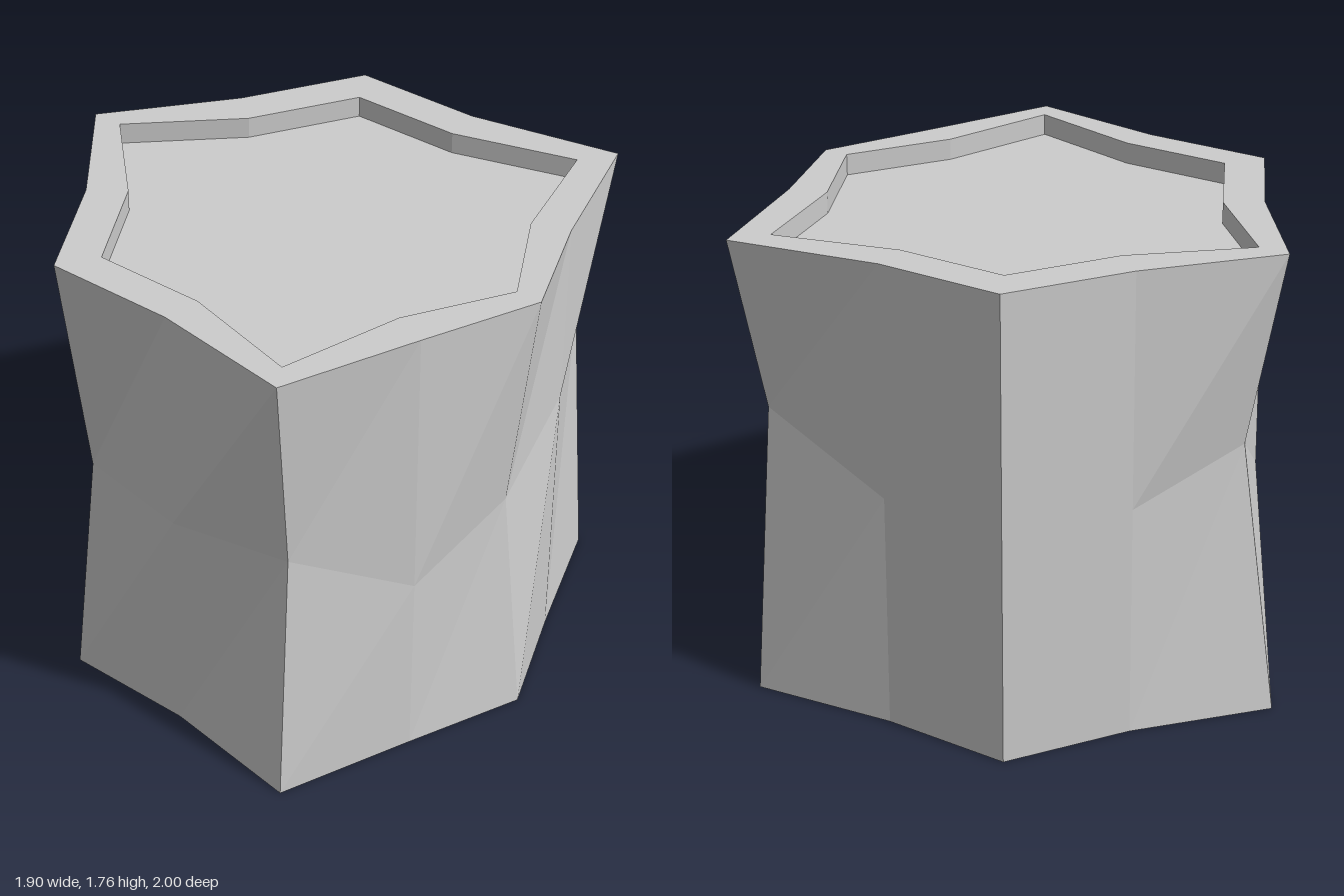
import * as THREE from 'three';

const HEIGHT = 1.76, RECESS = 0.08;

// Outlines as [x, z], starting at the back corner and running towards +x.
const TOP = [[-0.02, -1], [0.41, -0.66], [0.84, -0.41], [0.84, 0.09], [0.95, 0.66], [0.41, 0.825],
  [-0.02, 1], [-0.45, 0.825], [-0.95, 0.63], [-0.87, 0.09], [-0.87, -0.41], [-0.44, -0.66]];
const BOTTOM = TOP.map(([x, z], i) => (i === 4 ? [0.91, 0.64] : [x, z]));
const INNER = [[-0.02, -0.88], [0.31, -0.54], [0.69, -0.32], [0.69, 0.11], [0.82, 0.57], [0.36, 0.69],
  [-0.02, 0.9], [-0.39, 0.69], [-0.85, 0.57], [-0.73, 0.11], [-0.73, -0.32], [-0.35, -0.54]];

// Irregular waist: pinched corners at varying heights, [x, y, z].
const WAIST = [[-0.02, 1.02, -0.85], [0.41, 0.88, -0.66], [0.84, 0.95, -0.41], [0.84, 0.89, 0.09],
  [0.85, 1.12, 0.59], [0.41, 1.06, 0.825], [-0.02, 0.89, 0.9], [-0.44, 0.72, 0.82],
  [-0.85, 0.97, 0.59], [-0.87, 0.9, 0.09], [-0.79, 0.9, -0.36], [-0.44, 0.74, -0.66]];

const ringAt = (outline, y) => outline.map(([x, z]) => [x, y, z]);

// Joins consecutive rings with flat facets; the order runs bottom, outside, top.
function loft(name, rings) {
  const pos = [];
  for (let r = 0; r < rings.length - 1; r++) {
    const lo = rings[r], hi = rings[r + 1];
    for (let i = 0; i < lo.length; i++) {
      const j = (i + 1) % lo.length;
      pos.push(...lo[j], ...lo[i], ...hi[i], ...lo[j], ...hi[i], ...hi[j]);
    }
  }
  const geometry = new THREE.BufferGeometry();
  geometry.setAttribute('position', new THREE.Float32BufferAttribute(pos, 3));
  geometry.computeVertexNormals();
  const mesh = new THREE.Mesh(geometry,
    new THREE.MeshStandardMaterial({ color: 0xcccccc, flatShading: true }));
  mesh.name = name;
  return mesh;
}

// Flat panel at the foot of a recess.
function panel(name, y, facingUp) {
  const shape = new THREE.Shape(INNER.map(([x, z]) => new THREE.Vector2(x, facingUp ? -z : z)));
  const geometry = new THREE.ShapeGeometry(shape);
  geometry.rotateX(facingUp ? -Math.PI / 2 : Math.PI / 2);
  geometry.translate(0, y, 0);
  const mesh = new THREE.Mesh(geometry,
    new THREE.MeshStandardMaterial({ color: 0xcccccc, flatShading: true }));
  mesh.name = name;
  return mesh;
}

export function createModel() {
  const group = new THREE.Group();
  group.name = 'pinchedColumnBlock';
  const innerLow = ringAt(INNER, 0), innerHigh = ringAt(INNER, HEIGHT);
  const outerLow = ringAt(BOTTOM, 0), outerHigh = ringAt(TOP, HEIGHT);

  // Outer sides with the uneven waist
  group.add(loft('sideWall', [outerLow, WAIST, outerHigh]));
  // Rims, recess walls and recessed panels at both ends
  group.add(loft('topRim', [outerHigh, innerHigh, ringAt(INNER, HEIGHT - RECESS)]));
  group.add(loft('bottomRim', [ringAt(INNER, RECESS), innerLow, outerLow]));
  group.add(panel('topPanel', HEIGHT - RECESS, true));
  group.add(panel('bottomPanel', RECESS, false));
  return group;
}
